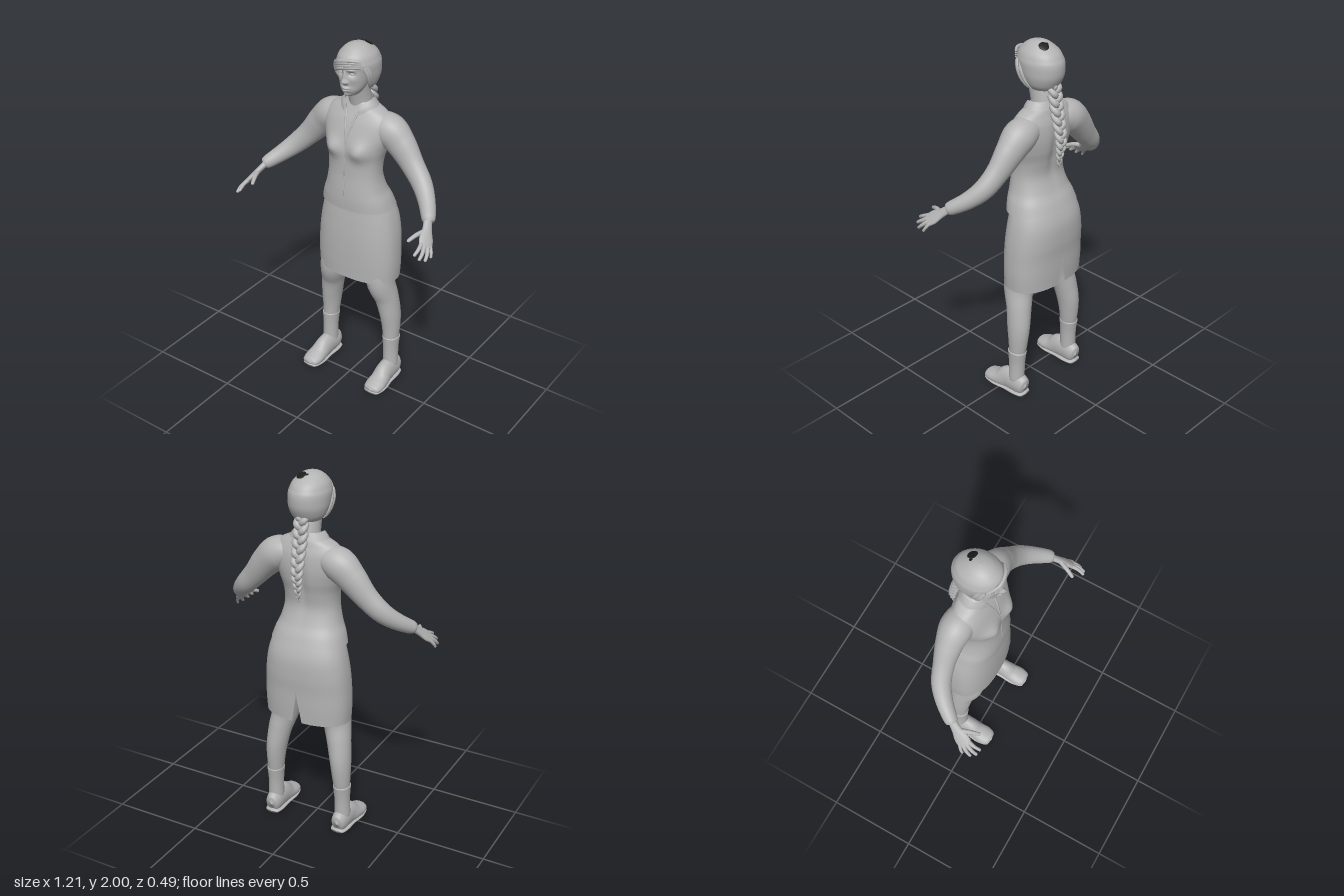
import * as THREE from 'three';
import { ParametricGeometry } from 'three/addons/geometries/ParametricGeometry.js';

const grey = new THREE.MeshStandardMaterial({ color: 0xb4b4b4, side: THREE.DoubleSide });
grey.name = 'plain grey';
const dark = new THREE.MeshStandardMaterial({ color: 0x1c1c1c });
dark.name = 'dark crown';

// Smooth interpolation through rows of numbers, v from 0 to 1
function at(rows, v) {
  const t = Math.min(Math.max(v, 0), 1) * (rows.length - 1);
  const i = Math.min(Math.floor(t), rows.length - 2), f = t - i;
  const r = k => rows[Math.min(Math.max(k, 0), rows.length - 1)];
  return rows[0].map((_, c) => {
    const [a, b, d, e] = [r(i - 1)[c], r(i)[c], r(i + 1)[c], r(i + 2)[c]];
    return b + 0.5 * f * (d - a + f * (2 * a - 5 * b + 4 * d - e + f * (3 * (b - d) + e - a)));
  });
}

function mesh(name, geometry, material = grey) {
  const m = new THREE.Mesh(geometry, material);
  m.name = name;
  return m;
}

// Stack of horizontal sections, bottom to top: [y, zFront, zBack, halfWidth, gap].
// The gap is a half angle left open at the angle "open" (0 = front).
function loft(name, rows, { n = 2, open = 0, shape, nu = 48, nv = 40 } = {}) {
  return mesh(name, new ParametricGeometry((u, v, p) => {
    const [y, zf, zb, w, g = 0] = at(rows, v);
    const gap = Math.max(g, 0);
    const th = open + gap + u * 2 * (Math.PI - gap);
    const s = Math.sin(th), c = Math.cos(th);
    const k = Math.pow(Math.abs(s) ** n + Math.abs(c) ** n, -1 / n);
    p.set(w * s * k, y, (zf + zb) / 2 + (zf - zb) / 2 * c * k);
    if (shape) shape(p, c);
  }, nu, nv));
}

// Rounded tube through rows [x, y, z, radiusAcross, radiusDeep]
function sweep(name, rows, { across = [1, 0, 0], shape, nu = 20, nv = 28, round = 14 } = {}) {
  const A = new THREE.Vector3(), B = new THREE.Vector3(), T = new THREE.Vector3();
  return mesh(name, new ParametricGeometry((u, v, p) => {
    const [x, y, z, a, b] = at(rows, v);
    const q = at(rows, v - 0.002), r = at(rows, v + 0.002);
    T.set(r[0] - q[0], r[1] - q[1], r[2] - q[2]).normalize();
    A.set(...across).addScaledVector(T, -T.dot(A.set(...across))).normalize();
    B.crossVectors(A, T);
    const k = Math.max(0.03, Math.sqrt(Math.max(0, 1 - Math.abs(2 * v - 1) ** round)));
    const th = u * 2 * Math.PI;
    p.set(x, y, z).addScaledVector(A, a * k * Math.sin(th)).addScaledVector(B, b * k * Math.cos(th));
    if (shape) shape(p);
  }, nu, nv));
}

const bump = (x, y, cx, cy, sx, sy) => Math.exp(-(((x - cx) / sx) ** 2) - ((y - cy) / sy) ** 2);
const mirror = (rows, s) => rows.map(([x, ...rest]) => [x * s, ...rest]);

function buildHead() {
  const g = new THREE.Group();
  g.name = 'head';
  // Face with nose, lips, eye sockets, cheeks and chin raised by rule
  g.add(loft('face', [
    [1.735, -0.01, -0.035, 0.006], [1.743, 0.022, -0.07, 0.032], [1.77, 0.04, -0.095, 0.054],
    [1.80, 0.043, -0.12, 0.067], [1.84, 0.045, -0.15, 0.076], [1.88, 0.047, -0.165, 0.08],
    [1.92, 0.038, -0.17, 0.078], [1.96, 0, -0.13, 0.055], [1.975, -0.05, -0.08, 0.01],
  ], {
    n: 2.2, nu: 88, nv: 88, shape: (p, c) => {
      if (c < 0) return;
      const x = Math.abs(p.x), y = p.y;
      p.z += 0.024 * bump(x, y, 0, 1.826, 0.012, 0.014) + 0.012 * bump(x, y, 0, 1.85, 0.009, 0.024)
        + 0.009 * bump(x, y, 0.013, 1.822, 0.007, 0.008)
        + 0.012 * bump(x, y, 0, 1.791, 0.022, 0.007) + 0.012 * bump(x, y, 0, 1.777, 0.019, 0.007)
        - 0.013 * bump(x, y, 0.031, 1.866, 0.017, 0.012) + 0.006 * bump(x, y, 0.032, 1.888, 0.022, 0.007)
        + 0.005 * bump(x, y, 0.045, 1.835, 0.02, 0.018) + 0.008 * bump(x, y, 0, 1.75, 0.018, 0.011);
    },
  }));
  for (const s of [1, -1]) {
    const eye = mesh('eye', new THREE.SphereGeometry(0.011, 16, 12));
    eye.position.set(s * 0.031, 1.866, 0.026);
    eye.scale.set(1.25, 0.65, 1);
    g.add(eye);
  }
  g.add(sweep('neck', [[0, 1.58, -0.105, 0.07, 0.06], [0, 1.7, -0.086, 0.057, 0.063], [0, 1.8, -0.06, 0.056, 0.062]]));

  // Hair cap, open around the face
  g.add(loft('hair', [
    [1.765, -0.02, -0.165, 0.068, 1.5], [1.79, 0, -0.182, 0.088, 1.25], [1.83, 0.025, -0.2, 0.101, 1.02],
    [1.87, 0.045, -0.205, 0.105, 0.85], [1.9, 0.054, -0.203, 0.105, 0.45], [1.92, 0.053, -0.195, 0.1, 0],
    [1.95, 0.04, -0.175, 0.087, 0], [1.98, 0.006, -0.13, 0.058, 0], [1.994, -0.025, -0.095, 0.03, 0],
    [2.0, -0.058, -0.062, 0.002, 0],
  ], { nu: 56, nv: 48 }));
  // Fringe swept across the forehead
  for (let i = 0; i < 4; i++) {
    const d = 0.012 * i;
    g.add(sweep('fringeLock', [
      [0.08, 1.935 - d * 0.8, 0.018, 0.008, 0.006], [0.035, 1.942 - d, 0.048, 0.01, 0.009],
      [-0.03, 1.928 - d, 0.052, 0.01, 0.009], [-0.088, 1.888 - d, 0.006, 0.008, 0.006],
    ], { across: [0, 1, 0], nu: 10, nv: 20 }));
  }
  // Side locks framing the face
  for (const s of [1, -1]) for (let i = 0; i < 2; i++) {
    g.add(sweep('sideLock', mirror([
      [0.084, 1.91, 0.008 - i * 0.02, 0.006, 0.01], [0.098, 1.86, -0.012 - i * 0.02, 0.008, 0.012],
      [0.092, 1.81, -0.035 - i * 0.02, 0.008, 0.011], [0.076, 1.77, -0.065 - i * 0.02, 0.005, 0.007],
    ], s), { nu: 10, nv: 16 }));
  }
  // Small dark patches on the crown
  for (const [x, y, z, r, tilt] of [[0.026, 1.984, -0.118, 0.026, -0.5], [0.0, 1.989, -0.112, 0.009, -0.45], [-0.04, 1.985, -0.06, 0.009, 0]]) {
    const patch = mesh('crownPatch', new THREE.SphereGeometry(r, 14, 8), dark);
    patch.position.set(x, y, z);
    patch.scale.y = 0.18;
    patch.rotation.set(tilt, 0, -x * 9);
    g.add(patch);
  }
  // Three-strand braid hanging down the back
  const spine = [[1.79, -0.165, 1], [1.7, -0.178, 1], [1.6, -0.2, 0.95], [1.5, -0.216, 0.8], [1.42, -0.208, 0.55], [1.35, -0.2, 0.15]];
  for (let k = 0; k < 3; k++) {
    const rows = [];
    for (let i = 0; i <= 40; i++) {
      const [y, z, r] = at(spine, i / 40), t = 2 * Math.PI * (i / 40 * 3.6 + k / 3);
      rows.push([0.023 * r * Math.sin(t), y, z + 0.012 * r * Math.sin(2 * t), 0.018 * r, 0.016 * r]);
    }
    g.add(sweep('braidStrand', rows, { nu: 12, nv: 80, round: 40 }));
  }
  return g;
}

function buildClothes() {
  const g = new THREE.Group();
  g.name = 'clothes';
  // Skirt with a slit at the back
  g.add(loft('skirt', [
    [0.675, 0.045, -0.23, 0.237, 0.12], [0.76, 0.047, -0.235, 0.241, 0.06], [0.85, 0.047, -0.238, 0.239, 0],
    [0.94, 0.044, -0.244, 0.233, 0], [1.03, 0.037, -0.241, 0.219, 0], [1.1, 0.03, -0.222, 0.2, 0], [1.17, 0.03, -0.19, 0.172, 0],
  ], { n: 2.4, open: Math.PI, nu: 64 }));
  // Jacket body with bust and hollow between the shoulder blades
  g.add(loft('jacket', [
    [1.105, 0.058, -0.23, 0.206], [1.16, 0.06, -0.208, 0.19], [1.22, 0.058, -0.178, 0.166], [1.3, 0.052, -0.155, 0.15],
    [1.38, 0.05, -0.163, 0.152], [1.45, 0.047, -0.178, 0.17], [1.52, 0.035, -0.184, 0.19], [1.59, 0.01, -0.178, 0.195],
    [1.64, -0.015, -0.162, 0.16], [1.672, -0.03, -0.152, 0.095], [1.69, -0.035, -0.145, 0.06],
  ], {
    n: 2.3, nu: 72, nv: 56, shape: (p, c) => {
      const x = Math.abs(p.x);
      if (c > 0) p.z += c * 0.034 * bump(x, p.y, 0.085, 1.45, 0.055, 0.05);
      else p.z -= c * 0.012 * bump(x, p.y, 0, 1.45, 0.03, 0.14);
    },
  }));
  // Front closing edge and neckline edges
  g.add(sweep('frontEdge', [[0, 1.11, 0.057, 0.003, 0.003], [0, 1.22, 0.057, 0.003, 0.003], [0, 1.33, 0.052, 0.003, 0.003], [0, 1.47, 0.047, 0.003, 0.003]], { nu: 8 }));
  for (const s of [1, -1]) {
    g.add(sweep('lapelEdge', mirror([[0.002, 1.47, 0.045, 0.005, 0.004], [0.014, 1.56, 0.023, 0.006, 0.004], [0.036, 1.645, -0.017, 0.007, 0.004]], s), { nu: 8 }));
  }
  // Turned-down collar, open at the front
  const drop = (p, c) => { if (c > 0) p.y -= 0.035 * c * c; };
  g.add(loft('collarFall', [[1.664, -0.003, -0.166, 0.108, 0.42], [1.685, -0.006, -0.158, 0.094, 0.46], [1.705, -0.015, -0.15, 0.078, 0.5]], { shape: drop, nv: 8 }));
  g.add(loft('collarStand', [[1.65, -0.01, -0.158, 0.08, 0.4], [1.705, -0.015, -0.15, 0.078, 0.5]], { shape: drop, nv: 6 }));
  return g;
}

function buildArm(s, side) {
  const g = new THREE.Group();
  g.name = side + 'Arm';
  g.add(sweep('sleeve', mirror([
    [0.09, 1.58, -0.095, 0.065, 0.07], [0.175, 1.553, -0.1, 0.088, 0.084], [0.245, 1.492, -0.1, 0.079, 0.07],
    [0.32, 1.405, -0.09, 0.064, 0.055], [0.395, 1.328, -0.066, 0.055, 0.05], [0.46, 1.268, -0.012, 0.045, 0.043],
    [0.525, 1.213, 0.07, 0.034, 0.034],
  ], s), { across: [s, 1, 0], nv: 48, nu: 28, round: 30 }));
  // Palm, fingers and thumb
  const across = [s * 0.05, -0.04, -0.085];
  g.add(sweep('palm', mirror([
    [0.508, 1.228, 0.05, 0.022, 0.018], [0.532, 1.19, 0.095, 0.027, 0.016], [0.552, 1.158, 0.135, 0.04, 0.015], [0.572, 1.13, 0.172, 0.036, 0.011],
  ], s), { across }));
  const fingers = [
    [[0.549, 1.155, 0.17], [0.555, 1.138, 0.21], [0.551, 1.118, 0.245]],
    [[0.562, 1.143, 0.165], [0.575, 1.12, 0.205], [0.576, 1.098, 0.237]],
    [[0.573, 1.135, 0.152], [0.59, 1.108, 0.185], [0.594, 1.084, 0.21]],
    [[0.575, 1.135, 0.135], [0.594, 1.108, 0.152], [0.601, 1.084, 0.166]],
    [[0.532, 1.188, 0.105], [0.51, 1.182, 0.16], [0.49, 1.162, 0.21]],
  ];
  fingers.forEach((path, i) => {
    const r = [0.0105, 0.011, 0.0105, 0.009, 0.0125][i];
    g.add(sweep(i < 4 ? 'finger' : 'thumb', mirror(path.map((p, k) => [...p, r * (1.1 - 0.18 * k), r * (1.1 - 0.18 * k)]), s),
      { across, nu: 12, nv: 16 }));
  });
  return g;
}

function buildLeg(s, side) {
  const g = new THREE.Group();
  g.name = side + 'Leg';
  g.add(sweep('leg', mirror([
    [0.125, 0.92, -0.09, 0.085, 0.1], [0.138, 0.78, -0.08, 0.08, 0.095], [0.155, 0.65, -0.068, 0.073, 0.087], [0.18, 0.54, -0.092, 0.064, 0.071],
    [0.197, 0.43, -0.105, 0.056, 0.066], [0.204, 0.33, -0.107, 0.048, 0.055], [0.207, 0.22, -0.1, 0.038, 0.043],
  ], s), { nu: 28, nv: 40, round: 30 }));
  g.add(sweep('sock', mirror([
    [0.207, 0.285, -0.105, 0.049, 0.055], [0.208, 0.2, -0.102, 0.042, 0.047], [0.21, 0.09, -0.1, 0.043, 0.045],
  ], s), { nu: 28, round: 40 }));
  // Shoe upper and sole, flattened on the ground
  const ground = p => { p.y = Math.max(p.y, 0.004); };
  g.add(sweep('shoe', mirror([
    [0.207, 0.055, -0.165, 0.034, 0.05], [0.208, 0.062, -0.13, 0.044, 0.064], [0.209, 0.066, -0.08, 0.046, 0.07],
    [0.21, 0.062, -0.035, 0.047, 0.068], [0.213, 0.044, 0.015, 0.052, 0.05], [0.214, 0.036, 0.065, 0.055, 0.036], [0.214, 0.03, 0.112, 0.044, 0.026],
  ], s), { shape: ground, nu: 32, nv: 40, round: 24 }));
  g.add(sweep('sole', mirror([
    [0.207, 0.014, -0.167, 0.04, 0.014], [0.208, 0.014, -0.11, 0.05, 0.014], [0.21, 0.014, -0.04, 0.05, 0.014],
    [0.213, 0.015, 0.04, 0.058, 0.014], [0.214, 0.018, 0.115, 0.046, 0.014],
  ], s), { shape: p => { p.y = Math.max(p.y, 0); }, nu: 24, round: 16 }));
  return g;
}

export function createModel() {
  const model = new THREE.Group();
  model.name = 'standingWoman';
  model.add(buildHead(), buildClothes());
  for (const [s, side] of [[1, 'left'], [-1, 'right']]) model.add(buildArm(s, side), buildLeg(s, side));
  return model;
}
